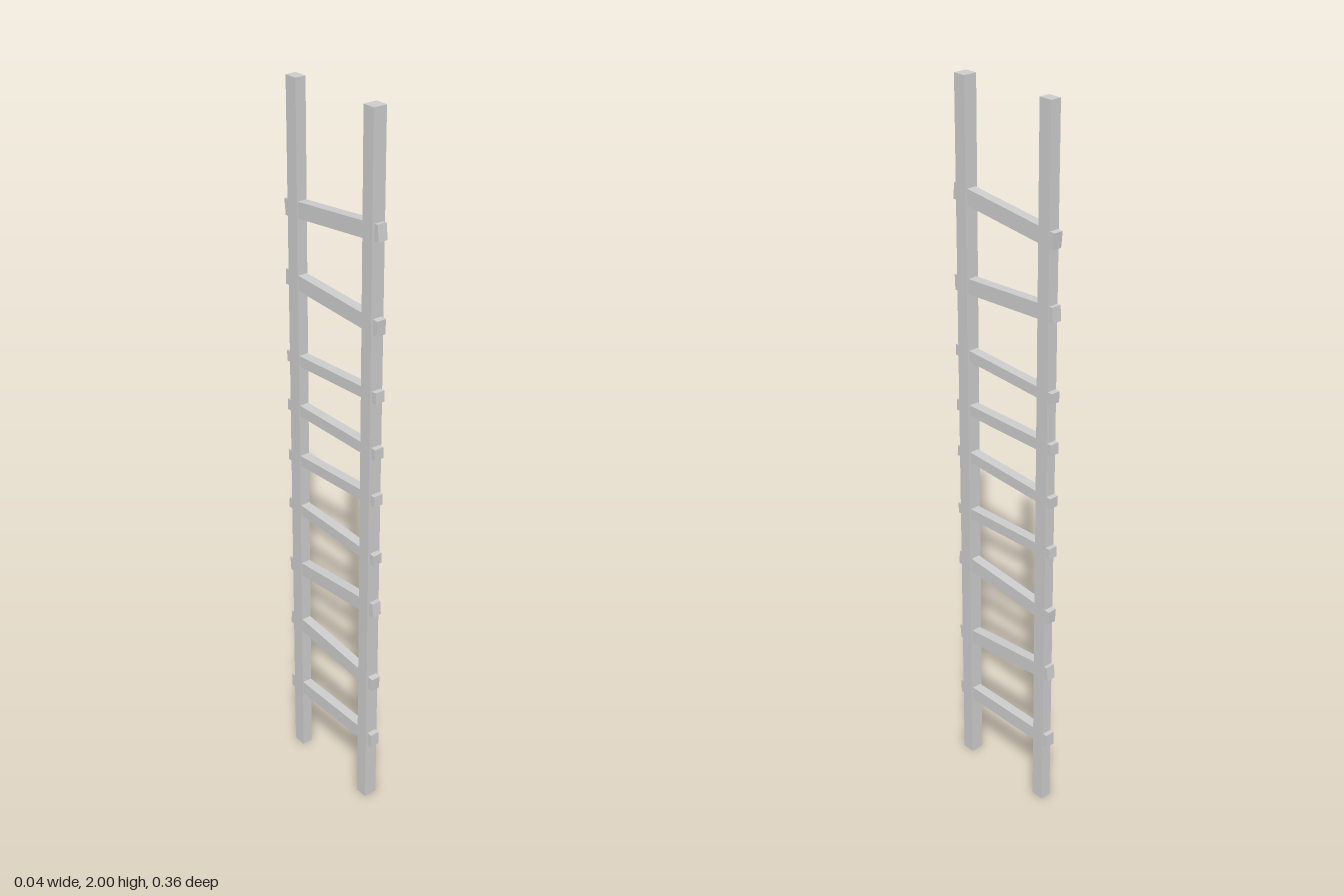
import * as THREE from 'three';

export function createModel() {
  const ladder = new THREE.Group();
  ladder.name = 'ladder';
  const wood = new THREE.MeshStandardMaterial({ color: 0xcccccc, flatShading: true });

  const addBeam = (name, width, height, depth, y, z) => {
    const beam = new THREE.Mesh(new THREE.BoxGeometry(width, height, depth), wood);
    beam.name = name;
    beam.position.set(0, y, z);
    ladder.add(beam);
    return beam;
  };

  // Upright rails, the front one slightly thicker
  addBeam('frontRail', 0.038, 2, 0.036, 1, 0.145);
  addBeam('backRail', 0.03, 2, 0.038, 1, -0.146);

  // Uneven rungs: height at the front end, height at the back end, thickness
  const rungs = [
    [0.207, 0.209, 0.04],
    [0.4, 0.436, 0.041],
    [0.648, 0.617, 0.04],
    [0.805, 0.816, 0.03],
    [0.983, 0.966, 0.03],
    [1.119, 1.119, 0.031],
    [1.278, 1.261, 0.03],
    [1.464, 1.483, 0.041],
    [1.706, 1.668, 0.043],
  ];
  const span = 0.357;
  rungs.forEach(([front, back, thickness], i) => {
    const rung = addBeam(`rung${i + 1}`, 0.027, thickness, span, (front + back) / 2, 0);
    rung.rotation.x = -Math.atan2(front - back, span);
  });

  return ladder;
}
